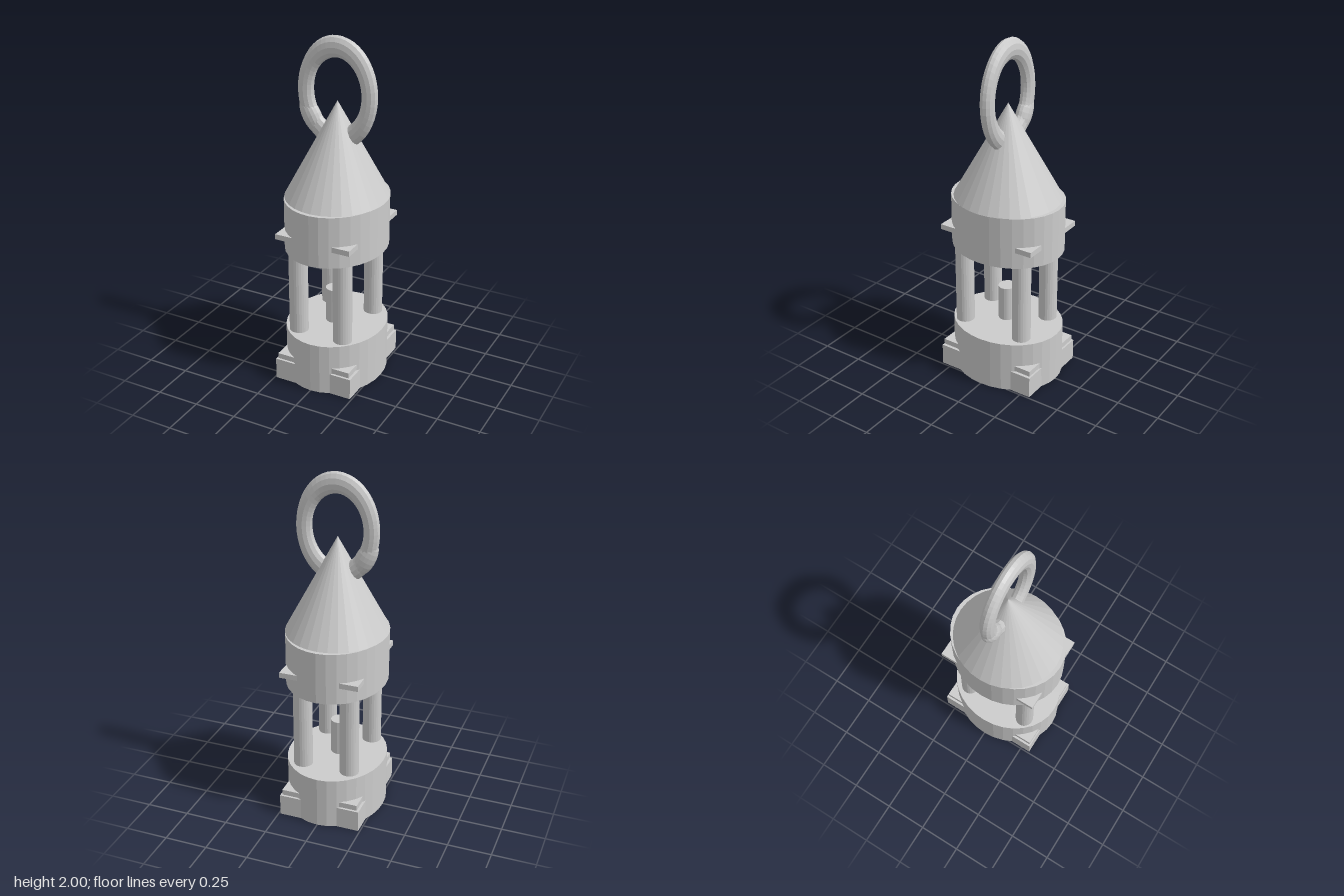
import * as THREE from 'three';

const material = new THREE.MeshStandardMaterial({ color: 0xcccccc, flatShading: true });

export function createModel() {
  const lantern = new THREE.Group();
  lantern.name = 'lantern';

  function add(name, geometry, x = 0, y = 0, z = 0) {
    const mesh = new THREE.Mesh(geometry, material);
    mesh.name = name;
    mesh.position.set(x, y, z);
    lantern.add(mesh);
    return mesh;
  }

  // Oval cylinder or cone standing between two heights
  function oval(name, rx, rz, y0, y1, { x = 0, z = 0, top = 1, sides = 32 } = {}) {
    const geometry = new THREE.CylinderGeometry(top, 1, y1 - y0, sides);
    geometry.scale(rx, 1, rz);
    return add(name, geometry, x, (y0 + y1) / 2, z);
  }

  // Rectangular plate whose corners stick out of the drum
  function plate(name, halfX, halfZ, y0, y1) {
    return add(name, new THREE.BoxGeometry(halfX * 2, y1 - y0, halfZ * 2), 0, (y0 + y1) / 2, 0);
  }

  // Base drum with foot block and trim
  oval('baseDrum', 0.285, 0.333, 0, 0.305);
  plate('footBlock', 0.24, 0.307, 0, 0.127);
  plate('baseTrim', 0.228, 0.3, 0.132, 0.164);

  // Upper drum with trim and conical roof
  oval('upperDrum', 0.285, 0.333, 0.8, 1.1);
  plate('upperTrim', 0.228, 0.3, 0.897, 0.928);
  oval('roof', 0.29, 0.31, 1.1, 1.645, { top: 0 });

  // Corner columns
  for (const x of [-0.14, 0.14]) {
    for (const z of [-0.185, 0.205]) {
      oval('column', 0.055, 0.053, 0.3, 0.81, { x, z, sides: 24 });
    }
  }

  // Candle and the dome above it
  oval('candle', 0.053, 0.05, 0.3, 0.515, { x: -0.01, z: 0.013, sides: 24 });
  const dome = add('dome', new THREE.SphereGeometry(0.17, 32, 20), 0, 0.917, 0);
  dome.scale.set(1, 1, 1.15);

  // Hanging ring, taller than wide
  const ringGeometry = new THREE.TorusGeometry(0.1915, 0.0455, 12, 48);
  ringGeometry.scale(1, 1.33, 0.82);
  add('ring', ringGeometry, 0, 1.685, 0);

  // Slight swelling low on one side of the ring
  const knotGeometry = new THREE.SphereGeometry(1, 16, 12);
  knotGeometry.scale(0.056, 0.115, 0.043);
  const knot = add('ringSwelling', knotGeometry, -0.157, 1.535, 0);
  knot.rotation.z = 0.5;

  return lantern;
}
